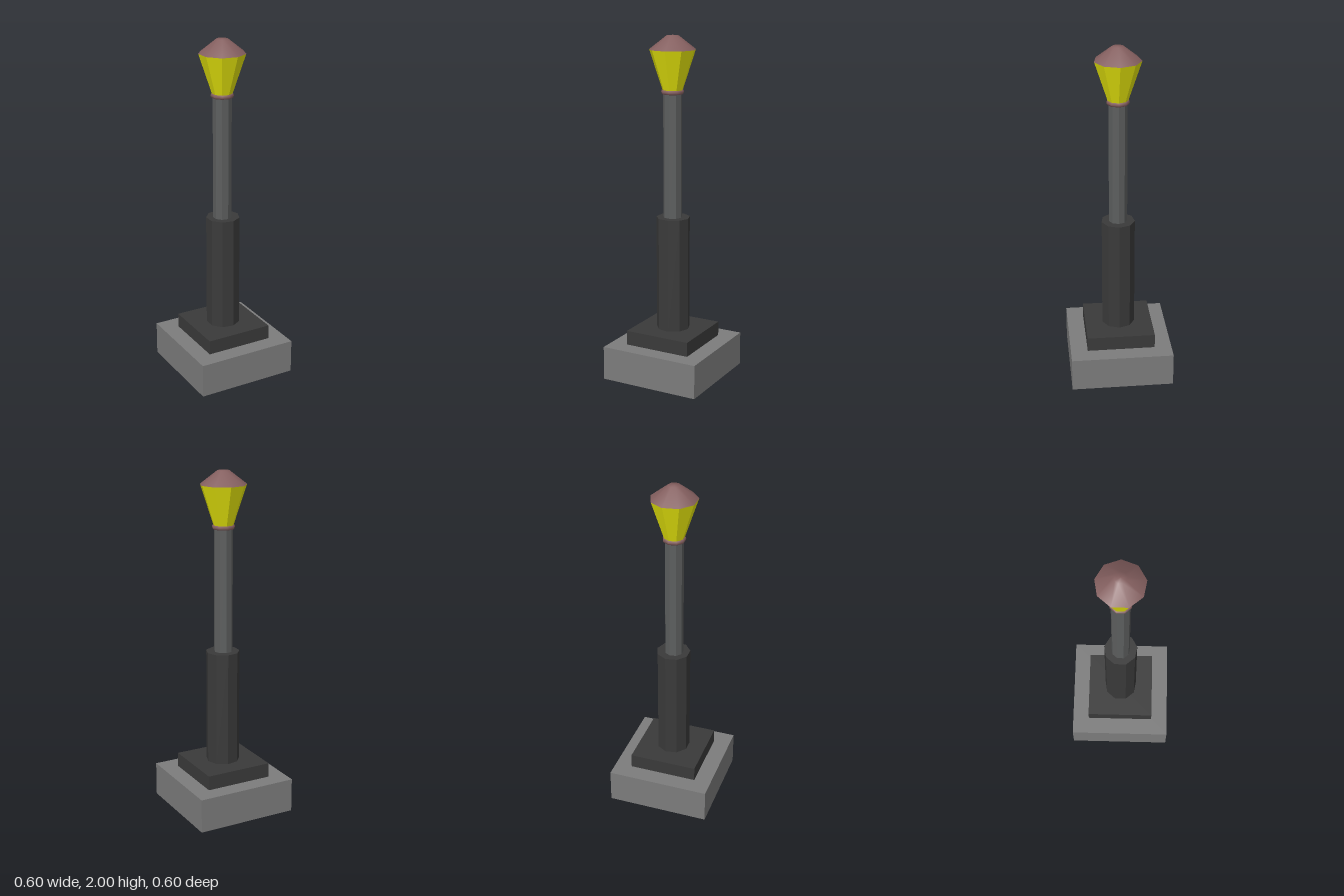
import * as THREE from 'three';

const SIDES = 9;
const START = Math.PI / 2; // a corner points to +x
const AXIS = -0.004; // the upper post sits a hair off the base centre

const mat = (color, flatShading = true) => new THREE.MeshStandardMaterial({ color, flatShading });

export function createModel() {
  const group = new THREE.Group();
  const stone = mat(0x7c7c7c), iron = mat(0x3a3a3a), steel = mat(0x5c5e5e);
  const glass = mat(0xe8e80c), copper = mat(0x845f5f, false);

  const add = (name, geometry, material, x, y) => {
    const mesh = new THREE.Mesh(geometry, material);
    mesh.name = name;
    mesh.position.set(x, y, 0);
    group.add(mesh);
    return mesh;
  };

  // Square slab or nine-sided prism spanning y0 to y1
  const slab = (name, size, y0, y1, material) =>
    add(name, new THREE.BoxGeometry(size, y1 - y0, size), material, 0, (y0 + y1) / 2);
  const prism = (name, rTop, rBottom, y0, y1, material, x) =>
    add(name, new THREE.CylinderGeometry(rTop, rBottom, y1 - y0, SIDES, 1, false, START), material, x, (y0 + y1) / 2);

  // Stepped base
  slab('foundation', 0.6, 0, 0.2, stone);
  slab('plinth', 0.4, 0.2, 0.285, iron);

  // Two-stage post
  prism('lowerColumn', 0.098, 0.098, 0.285, 0.957, iron, 0);
  prism('upperPole', 0.054, 0.054, 0.957, 1.69, steel, AXIS);

  // Rounded collar under the lamp
  const collar = [[0.05, 1.669], [0.062, 1.671], [0.066, 1.682], [0.062, 1.693], [0.05, 1.695]];
  const lathe = (points) =>
    new THREE.LatheGeometry(points.map(([r, y]) => new THREE.Vector2(r, y)), SIDES, START);
  add('collar', lathe(collar), copper, AXIS, 0);

  // Flared lantern and its cap
  prism('lanternGlass', 0.133, 0.058, 1.692, 1.919, glass, AXIS);
  add('lanternRoof', lathe([[0.134, 1.919], [0.034, 1.997], [0, 2]]), copper, AXIS, 0);

  return group;
}
